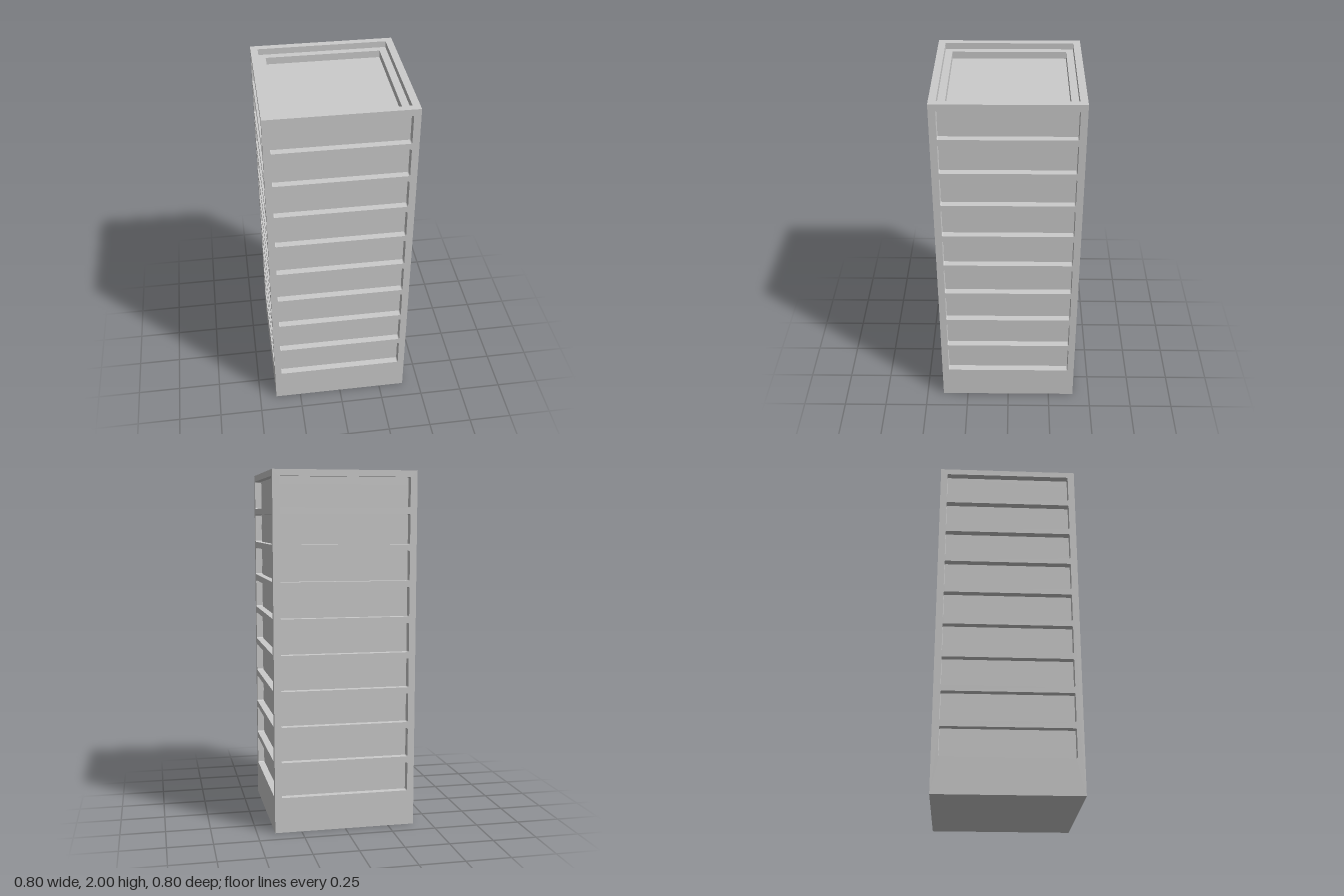
import * as THREE from 'three';

const HALF = 0.4, WALL = 0.04, HEIGHT = 2, FLOOR = 0.2, FLOORS = 9;
const WINDOW_HALF = 0.362, WINDOW_HEIGHT = 0.165, CORNER = 0.008;
const LEDGE_Y = 1.965, ROOF_Y = 1.925;

// Rectangle outline with softly rounded corners
function roundedRect(x0, y0, x1, y1, r) {
  const p = new THREE.Path();
  p.absarc(x1 - r, y0 + r, r, -Math.PI / 2, 0);
  p.absarc(x1 - r, y1 - r, r, 0, Math.PI / 2);
  p.absarc(x0 + r, y1 - r, r, Math.PI / 2, Math.PI);
  p.absarc(x0 + r, y0 + r, r, Math.PI, Math.PI * 1.5);
  p.closePath();
  return p;
}

function square(target, h) {
  target.moveTo(-h, -h).lineTo(h, -h).lineTo(h, h).lineTo(-h, h).closePath();
  return target;
}

// One facade sheet with a window opening per floor, mitred at its ends
function facadeGeometry() {
  const shape = new THREE.Shape();
  shape.moveTo(-HALF, 0).lineTo(HALF, 0).lineTo(HALF, HEIGHT).lineTo(-HALF, HEIGHT).closePath();
  for (let i = 1; i <= FLOORS; i++) {
    const y = i * FLOOR;
    shape.holes.push(roundedRect(-WINDOW_HALF, y, WINDOW_HALF, y + WINDOW_HEIGHT, CORNER));
  }
  const geo = new THREE.ExtrudeGeometry(shape, { depth: WALL, bevelEnabled: false, curveSegments: 4 });
  geo.translate(0, 0, HALF - WALL);
  const pos = geo.attributes.position;
  for (let i = 0; i < pos.count; i++) {
    const x = pos.getX(i);
    if (pos.getZ(i) < HALF - WALL / 2 && Math.abs(x) > HALF - 0.001) {
      pos.setX(i, Math.sign(x) * (HALF - WALL));
    }
  }
  geo.computeVertexNormals();
  return geo;
}

export function createModel() {
  const model = new THREE.Group();
  model.name = 'towerBlock';
  const material = new THREE.MeshStandardMaterial({ color: 0xcccccc });
  const add = (name, geometry) => {
    const mesh = new THREE.Mesh(geometry, material);
    mesh.name = name;
    model.add(mesh);
    return mesh;
  };

  // Four identical facades
  const facade = facadeGeometry();
  ['frontFacade', 'leftFacade', 'backFacade', 'rightFacade'].forEach((name, i) => {
    add(name, facade).rotation.y = i * Math.PI / 2;
  });

  // Inner core: window panes on its sides, roof deck on top
  const inner = HALF - WALL;
  add('core', new THREE.BoxGeometry(inner * 2, ROOF_Y, inner * 2)).position.y = ROOF_Y / 2;

  // Stepped ledge around the sunken roof
  const ring = square(new THREE.Shape(), inner);
  ring.holes.push(square(new THREE.Path(), inner - WALL));
  const ledge = new THREE.ExtrudeGeometry(ring, { depth: LEDGE_Y - ROOF_Y, bevelEnabled: false });
  ledge.rotateX(-Math.PI / 2);
  add('roofLedge', ledge).position.y = ROOF_Y;

  return model;
}
